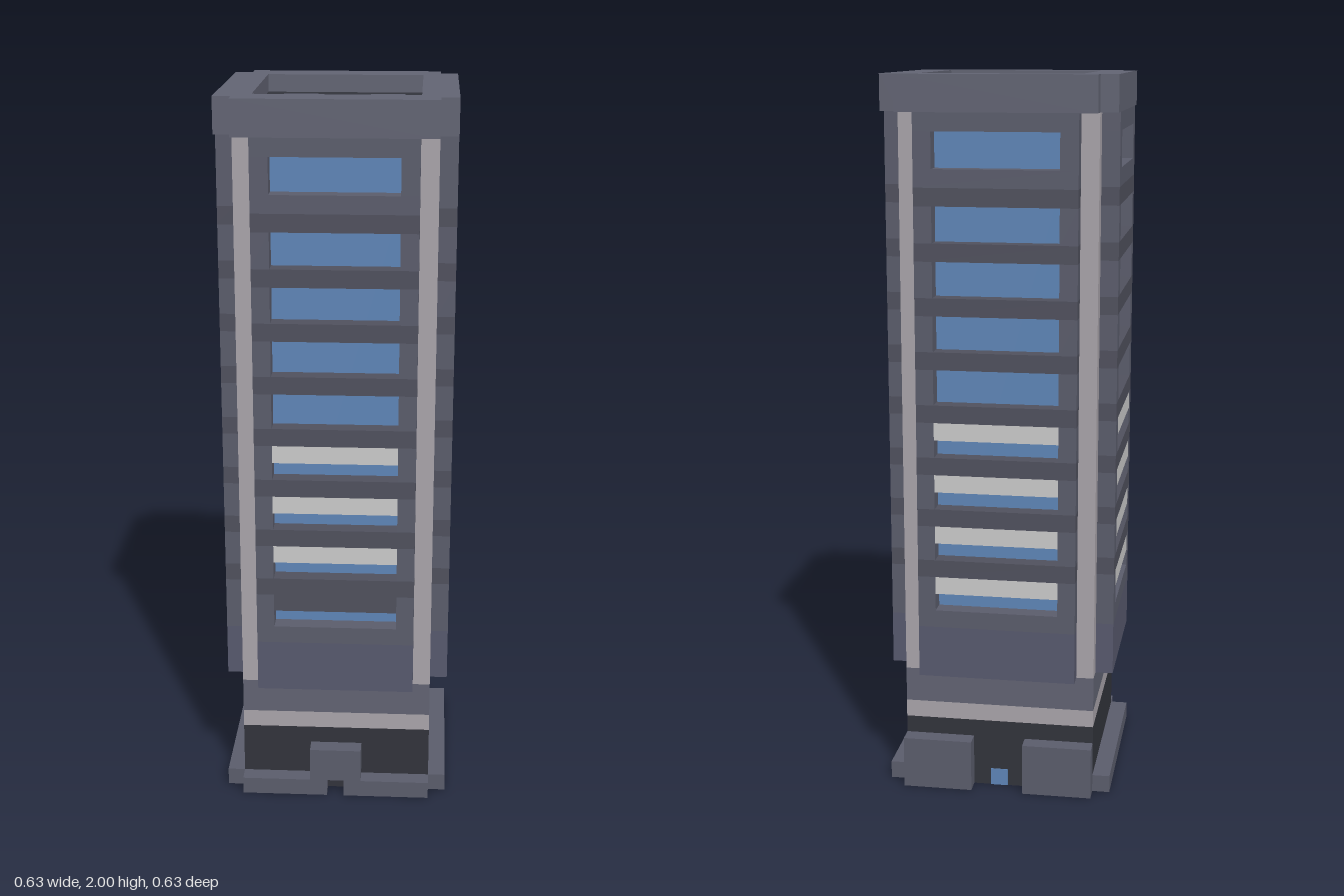
import * as THREE from 'three';

// One block of the tower: 41 blocks high, 13 wide
const U = 2 / 41;

const mat = (color) => new THREE.MeshStandardMaterial({ color, flatShading: true });
const M = {
  wall: mat(0x5b5d6c),
  band: mat(0x50515e),
  lower: mat(0x585a6e),
  trim: mat(0x626473),
  pillar: mat(0xaaa5ab),
  blind: mat(0xc2c0be),
  glass: mat(0x5f86b8),
  dark: mat(0x32343c),
  patch: mat(0x606272),
  patchDark: mat(0x53556a),
};

// Box given by its limits in blocks
function box(parent, name, material, x0, x1, y0, y1, z0, z1) {
  const g = new THREE.BoxGeometry((x1 - x0) * U, (y1 - y0) * U, (z1 - z0) * U);
  g.translate(((x0 + x1) / 2) * U, ((y0 + y1) / 2) * U, ((z0 + z1) / 2) * U);
  const mesh = new THREE.Mesh(g, material);
  mesh.name = name;
  parent.add(mesh);
  return mesh;
}

// Facade facing +z: solid courses, recessed windows and flush blinds
function facade(name, lowBlind) {
  const group = new THREE.Group();
  group.name = name;
  const course = (mt, y0, y1) => box(group, 'wallCourse', mt, -4.5, 4.5, y0, y1, 5.5, 6.5);

  course(M.lower, 7, 10);
  course(M.wall, 10, 11);
  course(M.band, 13, 14);
  for (const y of [16, 19, 22, 25, 28, 31]) course(M.band, y, y + 1);
  course(M.band, 34, 35);
  course(M.wall, 35, 36);
  course(M.wall, 38, 39);

  for (const y of [11, 14, 17, 20, 23, 26, 29, 32, 36]) {
    for (const s of [-1, 1]) {
      box(group, 'windowJamb', M.wall, s * 4 - 0.5, s * 4 + 0.5, y, y + 2, 5.5, 6.5);
    }
    if (y <= 20) {
      const shut = y === 11 && !lowBlind;
      box(group, 'blind', shut ? M.band : M.blind, -3.5, 3.5, y + 1, y + 2, 5.5, 6.5);
    }
  }
  return group;
}

function cornice() {
  // Square with notched corners and a square opening for the roof
  const pts = [
    [5.5, 6.5], [-5.5, 6.5], [-5.5, 5.5], [-6.5, 5.5], [-6.5, -5.5], [-5.5, -5.5],
    [-5.5, -6.5], [5.5, -6.5], [5.5, -5.5], [6.5, -5.5], [6.5, 5.5], [5.5, 5.5],
  ];
  const shape = new THREE.Shape(pts.map(([x, y]) => new THREE.Vector2(x * U, y * U)));
  const h = 4.5 * U;
  shape.holes.push(new THREE.Path([
    new THREE.Vector2(-h, -h), new THREE.Vector2(-h, h),
    new THREE.Vector2(h, h), new THREE.Vector2(h, -h),
  ]));
  const g = new THREE.ExtrudeGeometry(shape, { depth: 2 * U, bevelEnabled: false });
  g.rotateX(-Math.PI / 2);
  g.translate(0, 39 * U, 0);
  const mesh = new THREE.Mesh(g, M.trim);
  mesh.name = 'cornice';
  return mesh;
}

export function createModel() {
  const tower = new THREE.Group();
  tower.name = 'tower';

  // Ground floor and bands
  box(tower, 'groundFloor', M.dark, -5.5, 5.5, 0, 4, -5.5, 5.5);
  box(tower, 'lightBand', M.pillar, -5.5, 5.5, 4, 5, -5.5, 5.5);
  box(tower, 'upperBand', M.trim, -5.5, 5.5, 5, 7, -5.5, 5.5);

  // Glass core, seen through the window openings
  box(tower, 'glassCore', M.glass, -4.5, 4.5, 7, 39, -5.5, 5.5);
  box(tower, 'glassCore', M.glass, -5.5, 5.5, 7, 39, -4.5, 4.5);

  // Corner pillars
  for (const sx of [-1, 1]) {
    for (const sz of [-1, 1]) {
      box(tower, 'cornerPillar', M.pillar,
        sx * 5 - 0.5, sx * 5 + 0.5, 7, 39, sz * 5 - 0.5, sz * 5 + 0.5);
    }
  }

  // Four facades: front, left, back, right
  ['frontFacade', 'leftFacade', 'backFacade', 'rightFacade'].forEach((name, i) => {
    const f = facade(name, i >= 2);
    f.rotation.y = (i * Math.PI) / 2;
    tower.add(f);
  });

  // Plinth, front doorway and rear blocks
  for (const s of [-1, 1]) {
    box(tower, 'sidePlinth', M.wall, s * 6 - 0.5, s * 6 + 0.5, 0, 1, -5.5, 5.5);
    box(tower, 'frontPlinth', M.wall, s * 3.5 - 2, s * 3.5 + 2, 0, 1, 5.5, 6.5);
    box(tower, 'doorPost', M.wall, s - 0.5, s + 0.5, 0, 1, 5.5, 6.5);
    box(tower, 'rearBlock', M.wall, s * 3.5 - 2, s * 3.5 + 2, 0, 3, -6.5, -5.5);
  }
  box(tower, 'doorLintel', M.wall, -1.5, 1.5, 1, 3, 5.5, 6.5);
  box(tower, 'rearDoor', M.glass, -0.5, 0.5, 0, 1, -5.54, -5.5);

  // Roof with flush square patches
  tower.add(cornice());
  box(tower, 'roof', M.dark, -4.5, 4.5, 39, 40, -4.5, 4.5);
  for (const x of [-2.5, 2.5]) {
    for (const z of [-2.5, 2.5]) {
      box(tower, 'roofPatch', M.patch, x - 1, x + 1, 40, 40.03, z - 1, z + 1);
    }
  }
  box(tower, 'roofPatchCorner', M.patchDark, -2.5, -1.5, 40.03, 40.05, -2.5, -1.5);

  return tower;
}
